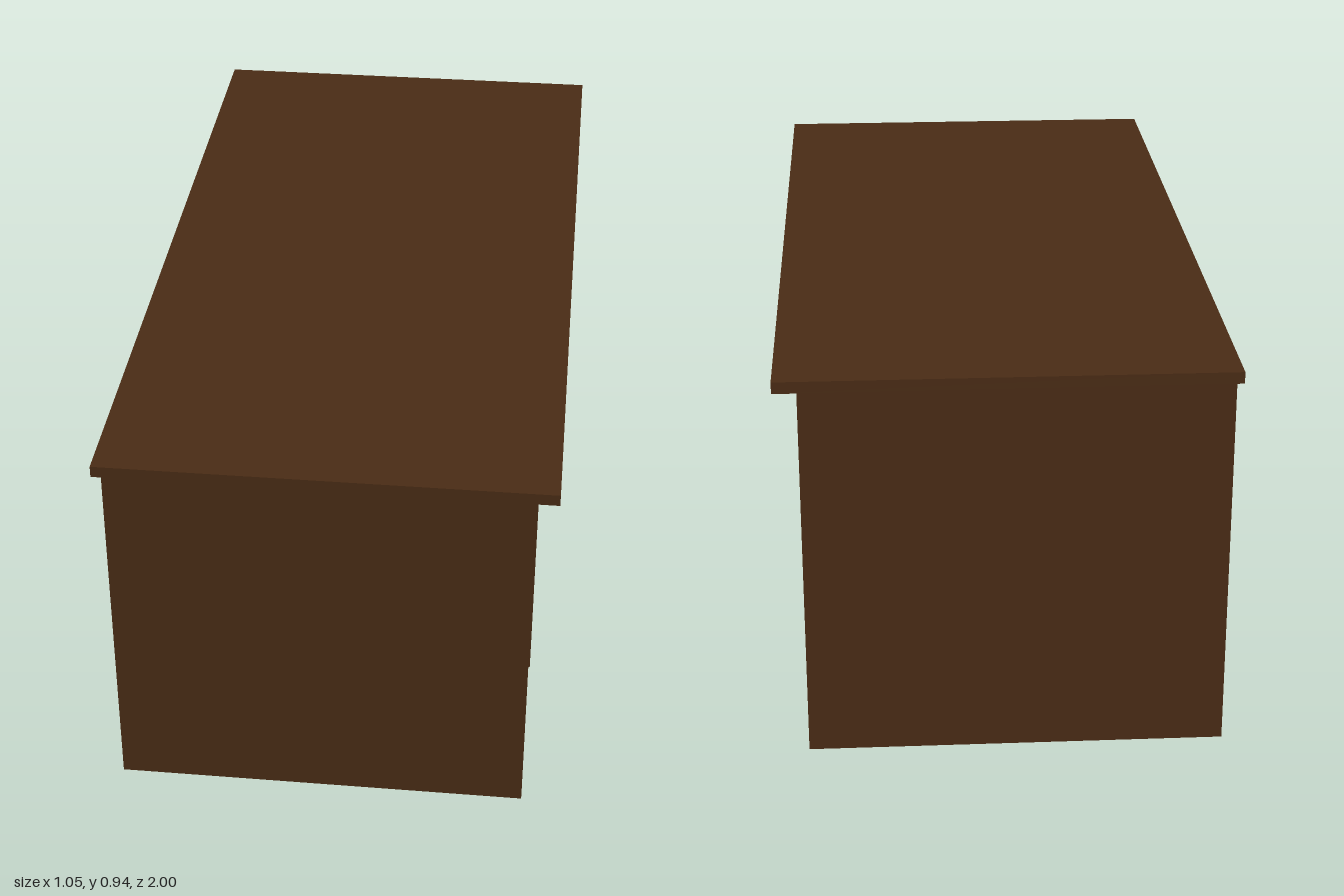
import * as THREE from 'three';

const wood = new THREE.MeshStandardMaterial({ color: 0x4a2c15 });
const metal = new THREE.MeshStandardMaterial({ color: 0x34373b });

// Board given by its lower and upper limits on each axis
function board(name, [x0, x1], [y0, y1], [z0, z1]) {
  const mesh = new THREE.Mesh(new THREE.BoxGeometry(x1 - x0, y1 - y0, z1 - z0), wood);
  mesh.position.set((x0 + x1) / 2, (y0 + y1) / 2, (z0 + z1) / 2);
  mesh.name = name;
  return mesh;
}

// Bowed wire pull: two short legs joined by a shallow arc
function createHandle() {
  const path = new THREE.CurvePath();
  const legA = new THREE.Vector3(-0.04, 0, -0.075);
  const legB = new THREE.Vector3(-0.04, 0, 0.075);
  path.add(new THREE.LineCurve3(new THREE.Vector3(0, 0, -0.075), legA));
  path.add(new THREE.QuadraticBezierCurve3(legA, new THREE.Vector3(-0.062, 0, 0), legB));
  path.add(new THREE.LineCurve3(legB, new THREE.Vector3(0, 0, 0.075)));
  return new THREE.Mesh(new THREE.TubeGeometry(path, 48, 0.005, 10), metal);
}

export function createModel() {
  const desk = new THREE.Group();
  desk.name = 'desk';

  const depth = [-0.47, 0.474];
  const underTop = 0.912;
  const inner = [0.435, 0.886];

  // Top, end panel and modesty panel
  desk.add(
    board('desktop', [-0.47, 0.523], [underTop, 0.938], [-1, 1]),
    board('endPanel', depth, [0, underTop], [-0.911, -0.885]),
    board('modestyPanel', [0.405, 0.431], [0.375, underTop], [-0.885, 0.41])
  );

  // Drawer pedestal carcass
  const pedestal = new THREE.Group();
  pedestal.name = 'pedestal';
  pedestal.add(
    board('pedestalInnerSide', depth, [0, underTop], [0.41, inner[0]]),
    board('pedestalOuterSide', depth, [0, underTop], [inner[1], 0.912]),
    board('pedestalBack', [0.425, 0.451], [0, underTop], inner),
    board('pedestalBottom', [-0.468, 0.425], [0, 0.02], inner),
    board('openShelf', [-0.445, 0.425], [0.665, 0.69], inner)
  );

  // Four drawers with handles
  for (let i = 0; i < 4; i++) {
    const y = 0.02 + i * 0.169;
    const drawer = new THREE.Group();
    drawer.name = 'drawer' + (i + 1);
    const handle = createHandle();
    handle.name = 'handle';
    handle.position.set(-0.468, 0.113 + i * 0.1695, 0.657);
    drawer.add(
      board('drawerFront', [-0.469, -0.445], [y + 0.001, y + 0.168], [inner[0] + 0.001, inner[1] - 0.001]),
      handle
    );
    pedestal.add(drawer);
  }
  desk.add(pedestal);
  return desk;
}
